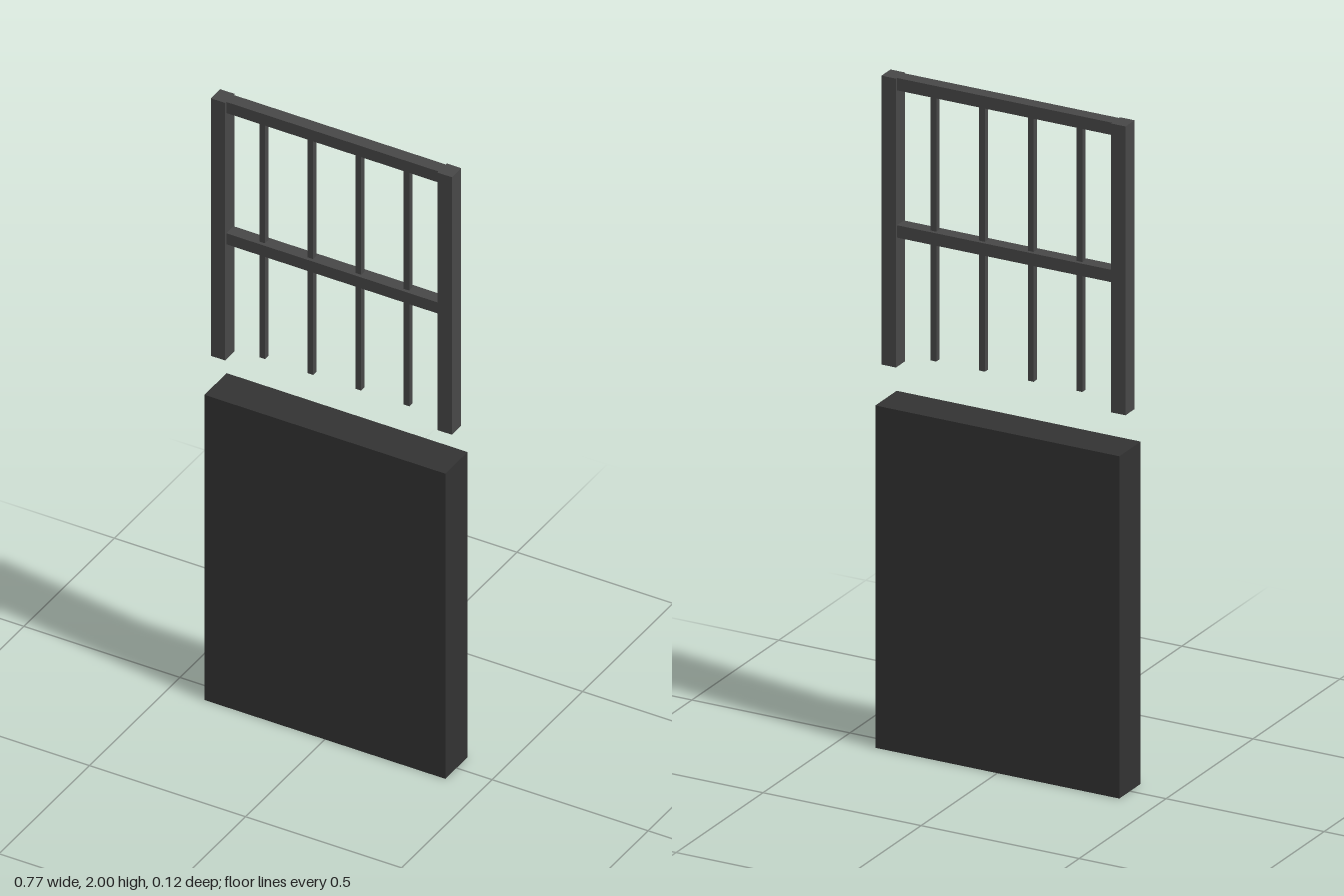
import * as THREE from 'three';

const panelMat = new THREE.MeshStandardMaterial({ color: 0x333333 });
const frameMat = new THREE.MeshStandardMaterial({ color: 0x484848 });

// Box spanning y0..y1, centred on x and on z = 0
function bar(name, w, y0, y1, d, x, mat) {
  const mesh = new THREE.Mesh(new THREE.BoxGeometry(w, y1 - y0, d), mat);
  mesh.name = name;
  mesh.position.set(x, (y0 + y1) / 2, 0);
  return mesh;
}

export function createModel() {
  const model = new THREE.Group();
  model.name = 'gate';

  // Solid lower panel
  model.add(bar('lowerPanel', 0.772, 0, 1.025, 0.123, 0, panelMat));

  // Barred upper frame, floating above the panel
  const frame = new THREE.Group();
  frame.name = 'upperFrame';
  for (const s of [-1, 1]) {
    frame.add(bar(s > 0 ? 'leftPost' : 'rightPost', 0.046, 1.135, 2, 0.052, s * 0.363, frameMat));
  }
  frame.add(bar('topRail', 0.68, 1.963, 2, 0.04, 0, frameMat));
  frame.add(bar('middleRail', 0.68, 1.522, 1.559, 0.04, 0, frameMat));

  // Four evenly spaced vertical bars
  for (let i = 0; i < 4; i++) {
    frame.add(bar('verticalBar' + (i + 1), 0.018, 1.17, 1.97, 0.018, (i - 1.5) * 0.154, frameMat));
  }
  model.add(frame);
  return model;
}
